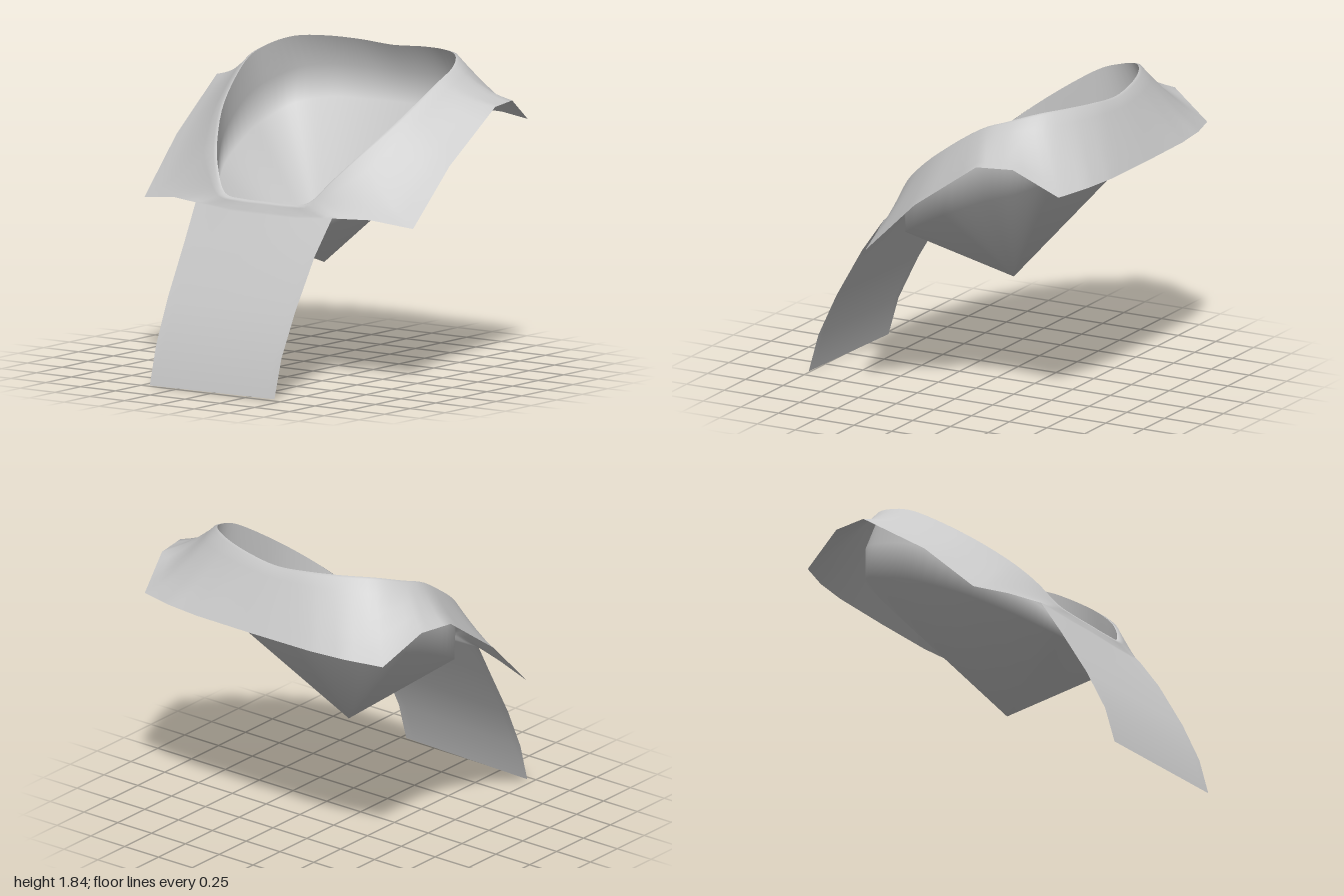
import * as THREE from 'three';
import { mergeVertices } from 'three/addons/utils/BufferGeometryUtils.js';

const V = (x, y, z) => new THREE.Vector3(x, y, z);
const SUB = 4; // samples between control points

// Half loops from front centre round the left side to back centre
const rimHalf = [
  [0, 1.06, 0.46], [0.15, 1.06, 0.46], [0.3, 1.08, 0.45], [0.41, 1.21, 0.37],
  [0.51, 1.35, 0.24], [0.62, 1.53, 0.02], [0.685, 1.72, -0.27], [0.67, 1.79, -0.45],
  [0.58, 1.835, -0.6], [0.42, 1.84, -0.7], [0.22, 1.83, -0.76], [0, 1.815, -0.78],
];
const hemHalf = [
  [0, 0.99, 0.505], [0.25, 0.99, 0.5], [0.49, 1.01, 0.48], [0.71, 1.01, 0.4],
  [0.965, 0.975, 0.335], [0.98, 1.3, 0], [1, 1.595, -0.42], [0.96, 1.6, -0.64],
  [0.88, 1.45, -0.9], [0.65, 1.46, -0.97], [0.42, 1.46, -0.995], [0, 1.46, -1],
];
const pocketHalf = [
  [0, 0.86, 0.47], [0.15, 0.87, 0.47], [0.28, 0.89, 0.45], [0.38, 0.94, 0.37],
  [0.5, 1.02, 0.24], [0.64, 1.15, 0], [0.69, 1.29, -0.3], [0.69, 1.36, -0.5],
  [0.62, 1.43, -0.67], [0.44, 1.47, -0.775], [0.22, 1.47, -0.83], [0, 1.47, -0.85],
];

// Mirror a half loop into a closed loop and sample it, curved or straight
function sampleLoop(half, curved) {
  const points = half.map((p) => V(...p));
  points.push(...half.slice(1, -1).reverse().map(([x, y, z]) => V(-x, y, z)));
  const n = points.length, count = n * SUB;
  const curve = new THREE.CatmullRomCurve3(points, true, 'catmullrom', 0.5);
  return Array.from({ length: count + 1 }, (_, i) => {
    const k = i % count, a = Math.floor(k / SUB);
    if (curved) return curve.getPoint(k / count);
    return points[a].clone().lerp(points[(a + 1) % n], (k % SUB) / SUB);
  });
}

// Row of points part of the way from one loop to another
const between = (from, to, u) => from.map((p, i) => p.clone().lerp(to[i], u));

// Append triangles spanning successive rows of points
function addGrid(out, rows) {
  for (let r = 0; r + 1 < rows.length; r++) {
    for (let c = 0; c + 1 < rows[r].length; c++) {
      const a = rows[r][c], b = rows[r][c + 1];
      const d = rows[r + 1][c], e = rows[r + 1][c + 1];
      for (const p of [a, d, b, d, e, b]) out.push(p.x, p.y, p.z);
    }
  }
}

// Weld the triangles and give them smooth normals
function smoothMesh(positions, material, name) {
  let geometry = new THREE.BufferGeometry();
  geometry.setAttribute('position', new THREE.Float32BufferAttribute(positions, 3));
  geometry = mergeVertices(geometry, 1e-4);
  geometry.computeVertexNormals();
  const mesh = new THREE.Mesh(geometry, material);
  mesh.name = name;
  return mesh;
}

export function createModel() {
  const group = new THREE.Group();
  group.name = 'collarWithBib';
  const cloth = new THREE.MeshStandardMaterial({ color: 0xc8c8c8, side: THREE.DoubleSide });
  cloth.name = 'pale grey cloth';

  const rim = sampleLoop(rimHalf, true);
  const hem = sampleLoop(hemHalf, false);
  const pocket = sampleLoop(pocketHalf, true);
  const count = rim.length - 1;

  // Narrow rolled lip just outside the rim
  const lip = rim.map((p) => {
    const out = V(p.x, 0, p.z + 0.16).setLength(0.02);
    return p.clone().add(out).setY(p.y - 0.005);
  });

  // Collar: falls from the lip to the hem, slightly hollowed at the shoulders
  const collarRows = [0, 0.15, 0.35, 0.6, 0.8, 1].map((u) => {
    const row = between(lip, hem, u);
    row.forEach((q, i) => {
      const shoulder = Math.abs(Math.sin((2 * Math.PI * i) / count));
      q.y -= 0.06 * lip[i].distanceTo(hem[i]) * shoulder * Math.sin(Math.PI * u);
    });
    return row;
  });
  const collar = [];
  addGrid(collar, [rim, ...collarRows]);

  // Bib: hangs from the front of the hem, welded to the collar
  const top = [];
  for (let i = -2 * SUB; i <= 2 * SUB; i++) top.push(hem[(i + count) % count]);
  const bibRows = [top];
  for (const [y, z, w] of [[0.8, 0.62, 0.475], [0.5, 0.795, 0.465], [0.24, 0.92, 0.457], [0.01, 0.985, 0.455]]) {
    bibRows.push(top.map((p) => V((p.x / 0.49) * w, y + 0.01 * p.x, z + 0.02 * p.x)));
  }
  addGrid(collar, bibRows);
  group.add(smoothMesh(collar, cloth, 'collarAndBib'));

  // Lining: a wall below the rim, bulging at the back, closed by a pointed pocket
  const apex = V(0, 0.63, -0.11);
  const bulge = between(rim, pocket, 0.48);
  for (const p of bulge) p.z -= 0.05 * THREE.MathUtils.smoothstep(-p.z, 0.2, 0.7);
  const lining = [];
  addGrid(lining, [rim, bulge, pocket]);
  for (let i = 0; i < count; i++) {
    for (const p of [pocket[i], apex, pocket[i + 1]]) lining.push(p.x, p.y, p.z);
  }
  group.add(smoothMesh(lining, cloth, 'neckLining'));

  return group;
}
